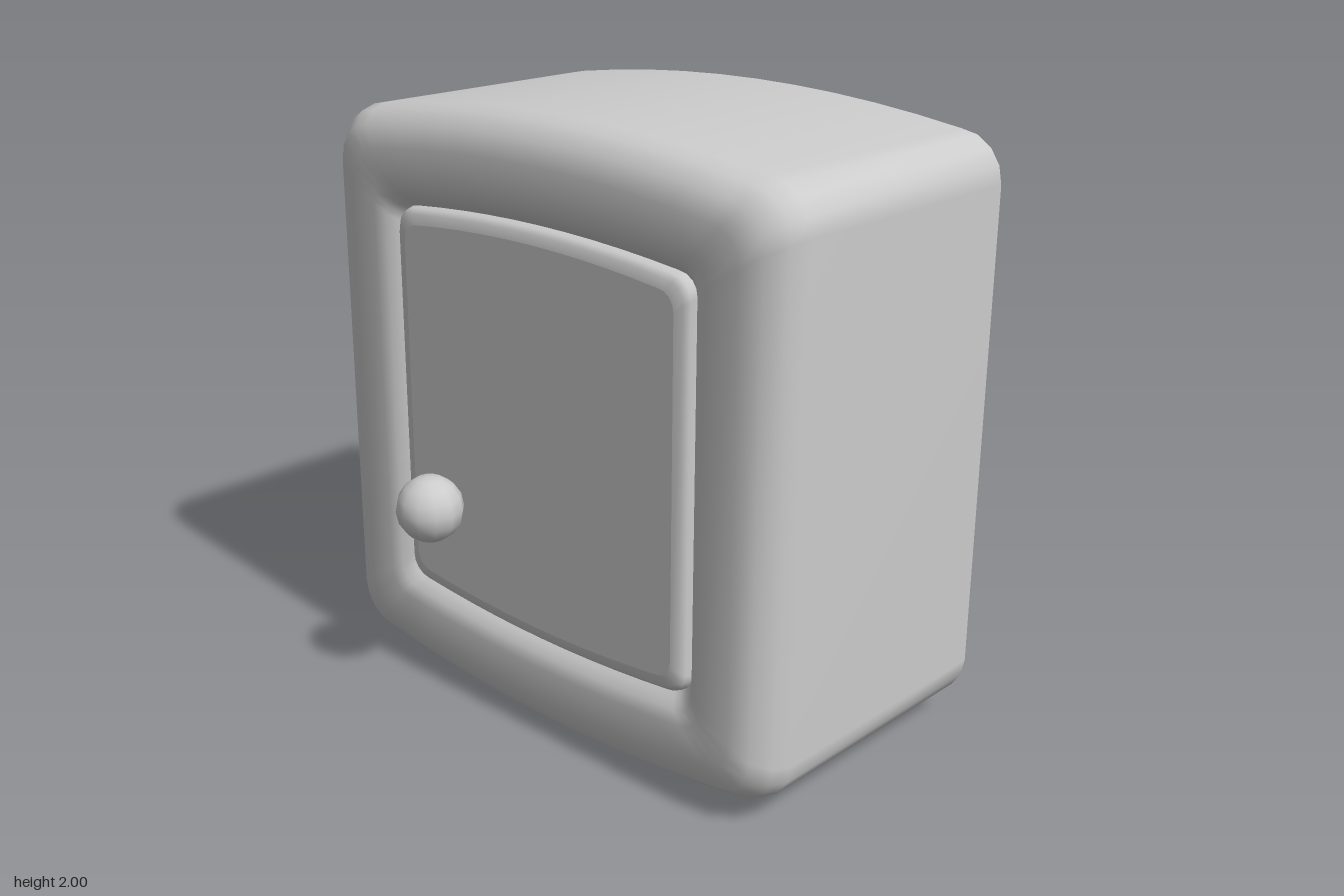
import * as THREE from 'three';

const material = new THREE.MeshStandardMaterial({ color: 0xcccccc });
const CENTER_Y = 1;

// Rounded rectangle with bowed top and bottom, counter-clockwise from the front.
// w, h: half sizes; bow: rise of the top edge; r: corner radius
function outline(w, h, bow, r) {
  const quarter = [];
  const corner = 4, arch = 5;
  for (let i = 0; i <= corner; i++) {
    const a = (i / corner) * Math.PI / 2;
    quarter.push([w - r + r * Math.cos(a), h - bow - r + r * Math.sin(a)]);
  }
  for (let i = 1; i <= arch; i++) {
    const t = 1 - i / arch;
    quarter.push([(w - r) * t, h - bow * t * t]);
  }
  const mirrored = quarter.slice(0, -1).reverse().map(([x, y]) => [-x, y]);
  const top = [...quarter, ...mirrored];
  const bottom = top.map(([x, y]) => [-x, -y]);
  return [...top, ...bottom].map(([x, y]) => new THREE.Vector2(x, y + CENTER_Y));
}

// Smooth skin through outlines given as [w, h, bow, r, z]
function loft(rings) {
  const positions = [], index = [];
  let n = 0;
  for (const [w, h, bow, r, z] of rings) {
    const points = outline(w, h, bow, r);
    n = points.length;
    for (const p of points) positions.push(p.x, p.y, z);
  }
  for (let k = 0; k < rings.length - 1; k++) {
    for (let i = 0; i < n; i++) {
      const a = k * n + i, b = k * n + (i + 1) % n;
      index.push(a, b, a + n, b, b + n, a + n);
    }
  }
  const geometry = new THREE.BufferGeometry();
  geometry.setAttribute('position', new THREE.Float32BufferAttribute(positions, 3));
  geometry.setIndex(index);
  geometry.computeVertexNormals();
  return geometry;
}

// Flat face closing an outline
function cap([w, h, bow, r, z], facingBack) {
  const geometry = new THREE.ShapeGeometry(new THREE.Shape(outline(w, h, bow, r)));
  if (facingBack) geometry.rotateY(Math.PI);
  return geometry.translate(0, 0, z);
}

export function createModel() {
  const group = new THREE.Group();
  const add = (name, geometry) => {
    const mesh = new THREE.Mesh(geometry, material);
    mesh.name = name;
    group.add(mesh);
    return mesh;
  };

  // Casing: straight walls, rounded front edge, frame face and inner lip
  const casing = [
    [0.95, 1.0, 0.06, 0.15, -0.62],
    [0.95, 1.0, 0.06, 0.15, 0.29],
    [0.935, 0.985, 0.06, 0.145, 0.35],
    [0.89, 0.94, 0.055, 0.13, 0.405],
    [0.82, 0.87, 0.05, 0.11, 0.425],
    [0.71, 0.76, 0.035, 0.08, 0.425],
    [0.67, 0.72, 0.03, 0.075, 0.41],
    [0.645, 0.695, 0.03, 0.07, 0.385],
    [0.63, 0.68, 0.03, 0.07, 0.365],
  ];
  add('casing', loft(casing));
  add('backPanel', cap(casing[0], true));

  // Door set into the frame, with a softened rim
  const door = [
    [0.63, 0.68, 0.03, 0.07, 0.365],
    [0.625, 0.675, 0.03, 0.07, 0.39],
    [0.61, 0.66, 0.03, 0.065, 0.405],
    [0.58, 0.63, 0.03, 0.06, 0.41],
  ];
  add('doorRim', loft(door));
  add('doorPanel', cap(door[door.length - 1], false));

  // Round knob resting on the door
  add('knob', new THREE.SphereGeometry(0.112, 12, 8)).position.set(-0.38, 0.705, 0.515);

  return group;
}
